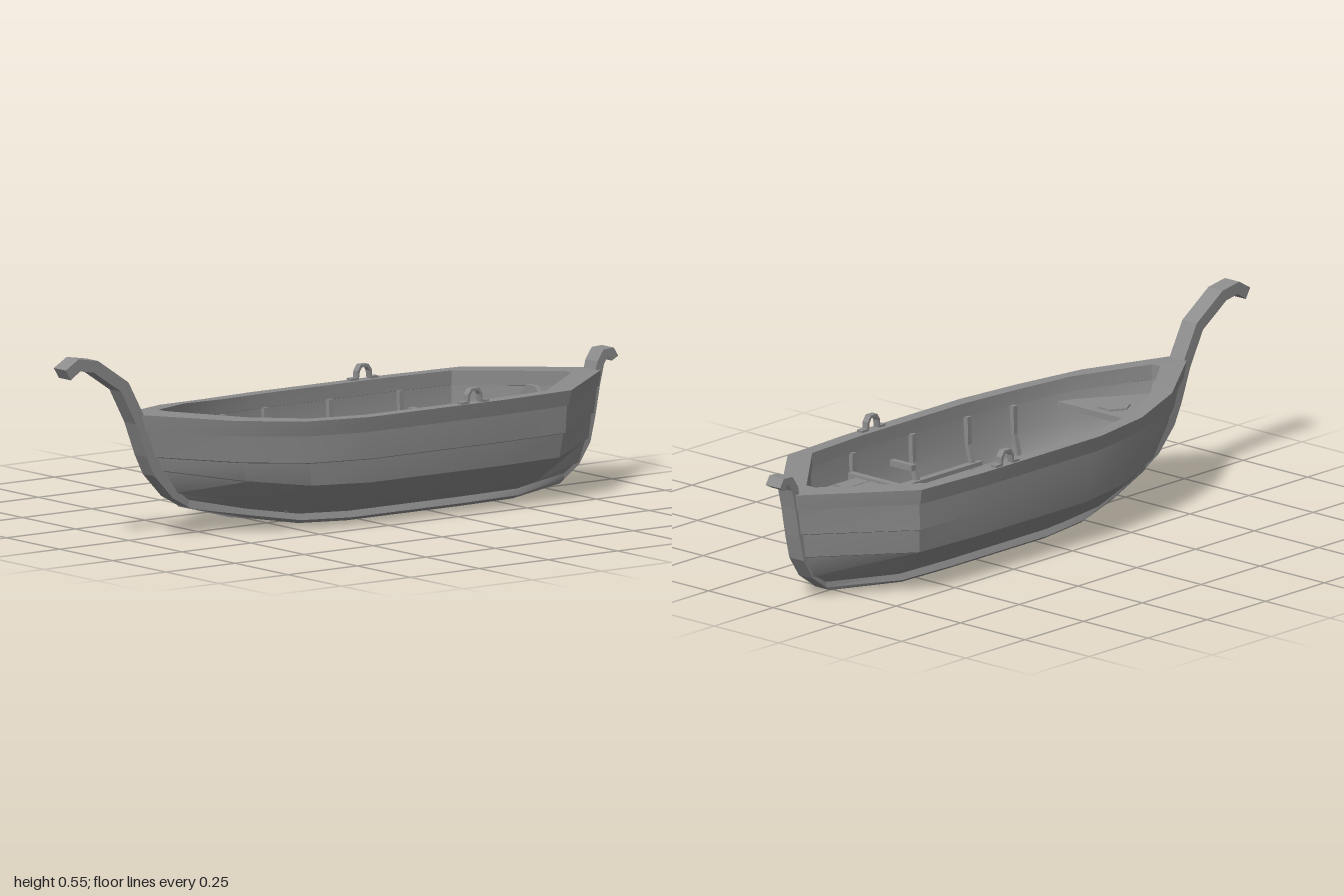
import * as THREE from 'three';
import { toCreasedNormals } from 'three/addons/utils/BufferGeometryUtils.js';

const mat = new THREE.MeshStandardMaterial({ color: 0x8c8c8c, side: THREE.DoubleSide });

// Stations from bow to stern: position, fullness and share of the end rise
const T = [0, 0.133, 0.255, 0.38, 0.68, 0.83, 1];
const FULL = [0, 0.64, 0.89, 1, 1, 0.945, 0];
const BOW = [1, 0.47, 0.1, 0, 0, 0, 0];
const STERN = [0, 0, 0, 0, 0, 0.08, 1];

// Closed waterline ring: half width, height, bow rise, stern rise, bow x, stern x, end half width
function ring([w, y, rb, rs, xb, xs, e]) {
  const port = T.map((t, i) => [
    xb + (xs - xb) * t,
    y + rb * BOW[i] + rs * STERN[i],
    i === 0 || i === T.length - 1 ? e : w * FULL[i],
  ]);
  return [...port, ...port.map(([x, h, z]) => [x, h, -z]).reverse()];
}

// Skin between successive rings
function loft(name, levels) {
  const rings = levels.map(ring);
  const n = rings[0].length;
  const index = [];
  for (let r = 0; r < rings.length - 1; r++) {
    for (let i = 0; i < n; i++) {
      const a = r * n + i, b = r * n + (i + 1) % n;
      index.push(a, a + n, b, b, a + n, b + n);
    }
  }
  const g = new THREE.BufferGeometry();
  g.setAttribute('position', new THREE.Float32BufferAttribute(rings.flat(2), 3));
  g.setIndex(index);
  return named(name, toCreasedNormals(g, 0.55));
}

function named(name, geometry) {
  const m = new THREE.Mesh(geometry, mat);
  m.name = name;
  return m;
}

function box(name, sx, sy, sz, x, y, z) {
  const m = named(name, new THREE.BoxGeometry(sx, sy, sz));
  m.position.set(x, y, z);
  return m;
}

// Flat bar of a given thickness that follows a polyline, extruded sideways
function ribbon(name, pts, thick, depth) {
  const v = pts.map(([x, y]) => new THREE.Vector2(x, y));
  const offset = (side) => v.map((p, i) => {
    const a = v[Math.max(i - 1, 0)], b = v[Math.min(i + 1, v.length - 1)];
    const d = b.clone().sub(a).normalize();
    return new THREE.Vector2(p.x - d.y * side * thick / 2, p.y + d.x * side * thick / 2);
  });
  const shape = new THREE.Shape([...offset(1), ...offset(-1).reverse()]);
  const g = new THREE.ExtrudeGeometry(shape, { depth, bevelEnabled: false });
  g.translate(0, 0, -depth / 2);
  return named(name, g);
}

// Horizontal board from an x-z outline, y is its top
function board(name, pts, y, thick) {
  const shape = new THREE.Shape(pts.map(([x, z]) => new THREE.Vector2(x, -z)));
  const g = new THREE.ExtrudeGeometry(shape, { depth: thick, bevelEnabled: false });
  g.rotateX(-Math.PI / 2).translate(0, y - thick, 0);
  return named(name, g);
}

export function createModel() {
  const boat = new THREE.Group();
  boat.name = 'rowingBoat';

  // Overlapping outer planks
  boat.add(loft('hullPlanks', [
    [0.26, 0.29, 0.03, 0, -0.705, 0.925, 0.028],
    [0.26, 0.205, 0.035, 0.002, -0.675, 0.912, 0.028],
    [0.253, 0.202, 0.035, 0.002, -0.67, 0.908, 0.024],
    [0.245, 0.133, 0.065, 0.002, -0.65, 0.893, 0.028],
    [0.238, 0.13, 0.065, 0.002, -0.645, 0.889, 0.024],
    [0.165, 0.058, 0.07, 0.012, -0.595, 0.858, 0.028],
    [0.158, 0.055, 0.07, 0.012, -0.59, 0.854, 0.024],
    [0.11, 0.03, 0.075, 0.012, -0.56, 0.81, 0.026],
  ]));

  // Bottom plate with a flared rim
  boat.add(loft('bottomPlate', [
    [0.11, 0.032, 0.075, 0.012, -0.56, 0.81, 0.026],
    [0.119, 0.012, 0.075, 0.014, -0.555, 0.805, 0.028],
    [0.105, 0.002, 0.075, 0.012, -0.55, 0.79, 0.028],
    [0, 0.012, 0.065, 0.005, -0.53, 0.78, 0],
  ]));

  // Gunwale
  boat.add(loft('gunwale', [
    [0.245, 0.285, 0.035, 0, -0.64, 0.85, 0.018],
    [0.235, 0.288, 0.035, 0, -0.63, 0.84, 0.016],
    [0.235, 0.33, 0.038, 0, -0.63, 0.84, 0.016],
    [0.275, 0.33, 0.038, 0, -0.725, 0.935, 0.032],
    [0.267, 0.285, 0.035, 0, -0.712, 0.928, 0.032],
    [0.255, 0.285, 0.035, 0, -0.7, 0.92, 0.025],
  ]));

  // Inside lining and floor
  boat.add(loft('lining', [
    [0, 0.045, 0.06, 0.01, -0.46, 0.76, 0],
    [0.1, 0.045, 0.065, 0.01, -0.48, 0.77, 0.01],
    [0.145, 0.07, 0.07, 0.01, -0.54, 0.8, 0.01],
    [0.218, 0.138, 0.065, 0, -0.585, 0.825, 0.012],
    [0.236, 0.207, 0.035, 0, -0.61, 0.835, 0.014],
    [0.24, 0.287, 0.035, 0, -0.635, 0.845, 0.016],
  ]));

  // Curved stem with tall prow, and short stern post
  boat.add(ribbon('bowStem', [
    [-0.99, 0.51], [-0.95, 0.535], [-0.89, 0.525], [-0.785, 0.455], [-0.728, 0.35], [-0.69, 0.25],
    [-0.663, 0.195], [-0.6, 0.128], [-0.535, 0.092], [-0.4, 0.055], [-0.3, 0.04],
  ], 0.036, 0.056));
  boat.add(ribbon('sternPost', [
    [0.75, 0.028], [0.795, 0.034], [0.85, 0.072], [0.888, 0.13], [0.905, 0.2], [0.922, 0.29],
    [0.937, 0.35], [0.955, 0.377], [0.978, 0.378], [0.989, 0.358],
  ], 0.026, 0.056));

  // Ribs following the inside section
  const half = [[0.231, 0.29], [0.229, 0.207], [0.21, 0.14], [0.14, 0.074], [0.098, 0.05]];
  const section = [...half, ...half.map(([z, y]) => [-z, y]).reverse()];
  for (const [x, s] of [[-0.25, 0.9], [-0.08, 1], [0.155, 1], [0.41, 1]]) {
    const rib = ribbon('rib', section.map(([z, y]) => [z * s, y]), 0.016, 0.016);
    rib.rotation.y = Math.PI / 2;
    rib.position.x = x;
    boat.add(rib);
  }

  // Foredeck with a low six-sided hatch
  boat.add(board('foredeck', [
    [-0.615, 0.015], [-0.43, 0.135], [-0.38, 0.155], [-0.38, -0.155], [-0.43, -0.135], [-0.615, -0.015],
  ], 0.284, 0.018));
  const hatch = named('foredeckHatch', new THREE.CylinderGeometry(0.05, 0.05, 0.006, 6).toNonIndexed());
  hatch.geometry.computeVertexNormals();
  hatch.position.set(-0.45, 0.286, 0);
  boat.add(hatch);

  // Planked stern platform with its front beam
  for (let i = -3; i <= 3; i++) {
    boat.add(box('platformPlank', 0.23, 0.014, 0.05, 0.555, 0.225, i * 0.053));
  }
  boat.add(box('platformBeam', 0.022, 0.03, 0.43, 0.435, 0.225, 0));
  boat.add(box('platformBeam', 0.02, 0.02, 0.36, 0.66, 0.21, 0));

  // Stern locker: low top and upright triangular panel
  boat.add(board('sternLocker', [[0.67, 0.17], [0.83, 0.015], [0.83, -0.015], [0.67, -0.17]], 0.215, 0.016));
  const panel = ribbon('sternPanel', [[0, 0.2], [0, 0.305]], 0.02, 0.014);
  panel.geometry = new THREE.ExtrudeGeometry(
    new THREE.Shape([[-0.12, 0.2], [0.12, 0.2], [0.02, 0.305], [-0.02, 0.305]].map((p) => new THREE.Vector2(...p))),
    { depth: 0.014, bevelEnabled: false },
  );
  panel.rotation.y = Math.PI / 2;
  panel.position.x = 0.704;
  boat.add(panel);

  // Side ledges and rowlocks on both sides
  for (const s of [1, -1]) {
    boat.add(box('sideLedge', 0.54, 0.012, 0.022, 0.16, 0.15, s * 0.21));
    const lock = ribbon('rowlock', [
      [-0.05, 0.332], [-0.024, 0.334], [-0.022, 0.355], [-0.012, 0.37],
      [0.012, 0.37], [0.022, 0.355], [0.024, 0.334], [0.05, 0.332],
    ], 0.009, 0.02);
    lock.position.set(0.297, 0, s * 0.26);
    boat.add(lock);
  }

  // Small block on the left side
  boat.add(box('sideBlock', 0.018, 0.018, 0.085, 0.245, 0.225, 0.185));

  return boat;
}
